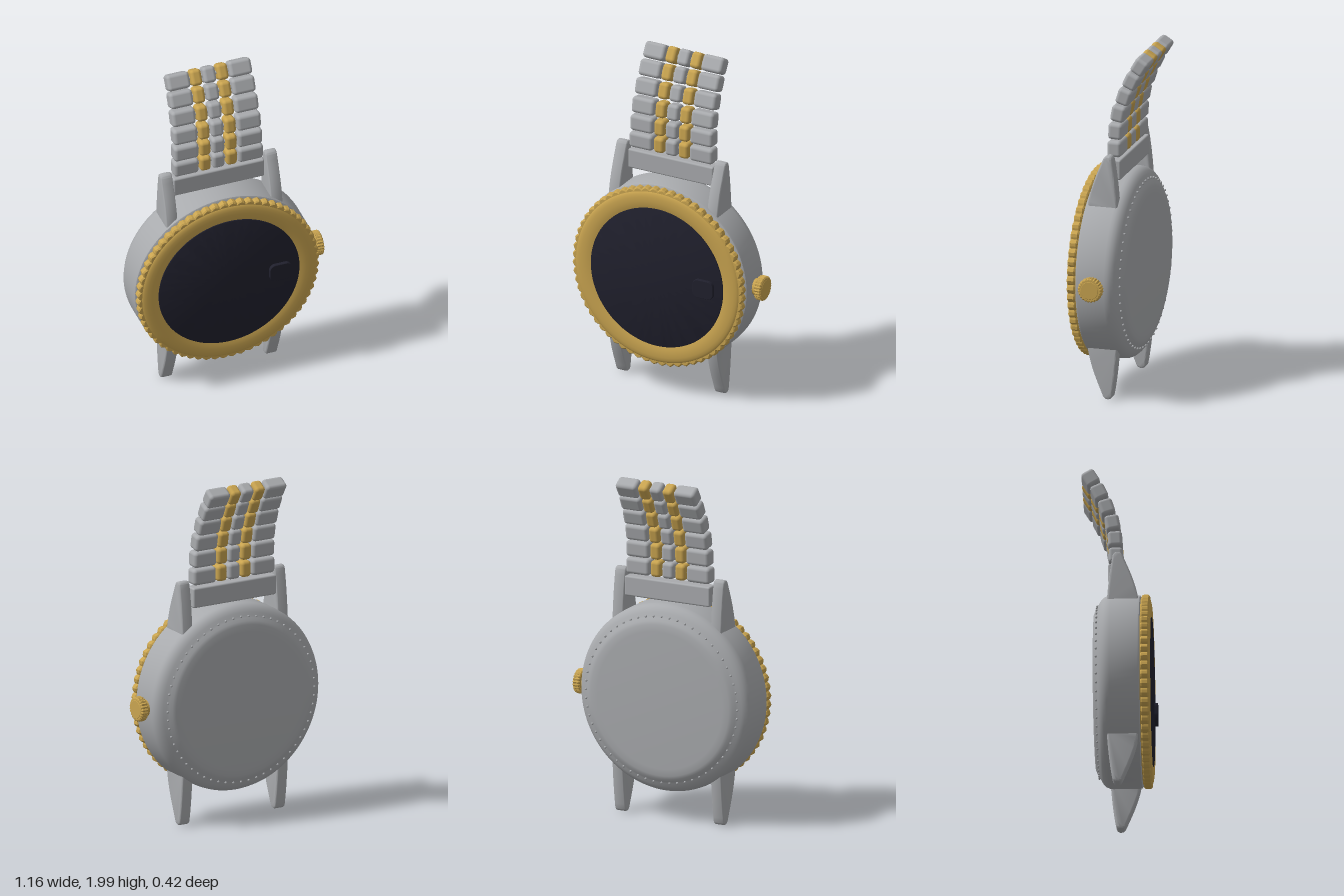
import * as THREE from 'three';
import { toCreasedNormals } from 'three/addons/utils/BufferGeometryUtils.js';
import { RoundedBoxGeometry } from 'three/addons/geometries/RoundedBoxGeometry.js';

const material = (name, color) => {
  const m = new THREE.MeshStandardMaterial({ color });
  m.name = name;
  return m;
};

export function createModel() {
  const steel = material('steel', 0xa9abae);
  const gold = material('gold', 0xc9a450);
  const dark = material('dark glass', 0x20202d);

  const model = new THREE.Group();
  model.name = 'wristwatch';
  // Everything is placed relative to the centre of the case
  const watch = new THREE.Group();
  watch.name = 'watch';
  watch.position.set(-0.031, 0.715, 0);
  model.add(watch);

  const add = (name, geometry, mat, x = 0, y = 0, z = 0, parent = watch) => {
    const mesh = new THREE.Mesh(geometry, mat);
    mesh.name = name;
    mesh.position.set(x, y, z);
    parent.add(mesh);
    return mesh;
  };

  // Turned part about the z axis; profile is [radius, z] from back to front
  const turned = (profile, crease = 0.6) => {
    const g = new THREE.LatheGeometry(profile.map(([r, z]) => new THREE.Vector2(r, z)), 96);
    g.rotateX(Math.PI / 2);
    return toCreasedNormals(g, crease);
  };

  // Toothed disc outline, extruded along z
  const toothed = (teeth, outer, inner, depth, bevel, hole) => {
    const pts = [];
    for (let i = 0; i < teeth * 4; i++) {
      const a = (i / (teeth * 4)) * Math.PI * 2;
      const r = [inner, (inner + outer * 2) / 3, outer, (inner + outer * 2) / 3][i % 4] - bevel;
      pts.push(new THREE.Vector2(Math.cos(a) * r, Math.sin(a) * r));
    }
    const shape = new THREE.Shape(pts);
    if (hole) shape.holes.push(new THREE.Path().absarc(0, 0, hole, 0, Math.PI * 2, true));
    const g = new THREE.ExtrudeGeometry(shape, {
      depth: depth - bevel * 2, bevelEnabled: true, bevelSize: bevel,
      bevelThickness: bevel, bevelSegments: 1, curveSegments: 64,
    });
    g.translate(0, 0, -depth / 2 + bevel);
    return g;
  };

  // Case with rounded back edge and slightly raised back plate
  add('case', turned([
    [0, -0.138], [0.4, -0.138], [0.44, -0.136], [0.46, -0.129], [0.475, -0.118], [0.488, -0.111],
    [0.505, -0.103], [0.522, -0.092], [0.536, -0.076], [0.544, -0.058], [0.546, -0.04],
    [0.546, 0.115], [0.543, 0.125], [0.535, 0.13], [0, 0.13],
  ]), steel);

  // Ring of small studs around the back
  const studs = new THREE.Group();
  studs.name = 'backStuds';
  watch.add(studs);
  const studGeometry = new THREE.SphereGeometry(0.007, 8, 6);
  for (let i = 0; i < 60; i++) {
    const a = (i / 60) * Math.PI * 2;
    add('stud', studGeometry, steel, Math.cos(a) * 0.485, Math.sin(a) * 0.485, -0.117, studs);
  }

  // Bezel: knurled rim and rounded front ring
  add('bezelRim', toothed(64, 0.547, 0.53, 0.046, 0.007, 0.45), gold, 0, 0, 0.157);
  add('bezelRing', turned([
    [0.5, 0.125], [0.525, 0.13], [0.527, 0.174], [0.52, 0.181], [0.508, 0.186], [0.49, 0.189],
    [0.465, 0.189], [0.445, 0.187], [0.428, 0.183], [0.41, 0.178],
  ]), gold);

  // Display and its raised button
  add('display', turned([[0.423, 0.17], [0.423, 0.187], [0.415, 0.19], [0, 0.191]]), dark);
  const bw = 0.066, bh = 0.055, br = 0.035;
  const button = new THREE.Shape();
  button.moveTo(-bw + br, -bh);
  button.absarc(bw - br, -bh + br, br, -Math.PI / 2, 0);
  button.absarc(bw - br, bh - br, br, 0, Math.PI / 2);
  button.absarc(-bw + br, bh - br, br, Math.PI / 2, Math.PI);
  button.absarc(-bw + br, -bh + br, br, Math.PI, Math.PI * 1.5);
  add('displayButton', new THREE.ExtrudeGeometry(button, {
    depth: 0.02, bevelEnabled: true, bevelSize: 0.003, bevelOffset: -0.003,
    bevelThickness: 0.003, bevelSegments: 2,
  }), dark, 0.304, 0, 0.187);

  // Winding crown on the side
  const stem = new THREE.CylinderGeometry(0.048, 0.048, 0.05, 32);
  stem.rotateZ(-Math.PI / 2);
  add('crownStem', stem, gold, 0.545, 0, 0.023);
  const crown = toothed(24, 0.071, 0.064, 0.045, 0.006);
  crown.rotateY(Math.PI / 2);
  add('crown', crown, gold, 0.588, 0, 0.023);
  const cap = new THREE.CylinderGeometry(0.05, 0.058, 0.006, 32);
  cap.rotateZ(-Math.PI / 2);
  add('crownCap', cap, gold, 0.609, 0, 0.023);

  // Four lugs: side outline in (z, y), extruded across x
  const bevel = 0.012;
  const outline = new THREE.Shape();
  outline.moveTo(-0.048, 0.41);
  outline.lineTo(0.108, 0.41);
  outline.bezierCurveTo(0.09, 0.53, 0.05, 0.61, 0.018, 0.69);
  outline.quadraticCurveTo(0.012, 0.703, 0, 0.703);
  outline.quadraticCurveTo(-0.012, 0.703, -0.015, 0.69);
  outline.quadraticCurveTo(-0.036, 0.58, -0.048, 0.41);
  const lug = new THREE.ExtrudeGeometry(outline, {
    depth: 0.07 - bevel * 2, bevelEnabled: true, bevelSize: bevel,
    bevelThickness: bevel, bevelSegments: 4, curveSegments: 10,
  });
  lug.translate(0, 0, -0.035 + bevel);
  lug.rotateY(-Math.PI / 2);
  const lugGeometry = toCreasedNormals(lug, 0.6);
  for (const x of [-0.315, 0.315]) {
    add('upperLug', lugGeometry, steel, x);
    add('lowerLug', lugGeometry, steel, x).rotation.z = Math.PI;
  }

  // End bar between the upper lugs
  add('endBar', new RoundedBoxGeometry(0.546, 0.116, 0.08, 3, 0.01), steel, 0, 0.617, -0.014);

  // Bracelet: rows of five links curving backwards; [y, z, tilt]
  const rows = [
    [0.735, -0.012, 0], [0.838, -0.016, 0.05], [0.941, -0.031, 0.19],
    [1.042, -0.064, 0.31], [1.137, -0.106, 0.44], [1.225, -0.155, 0.54],
  ];
  rows.forEach(([y, z, tilt], i) => {
    const row = new THREE.Group();
    row.name = 'linkRow';
    row.position.set(0, y, z);
    row.rotation.x = -tilt;
    watch.add(row);
    const outerWidth = 0.149 - i * 0.003;
    const link = (name, w, x, mat) =>
      add(name, new RoundedBoxGeometry(w, 0.094, 0.082, 4, 0.02), mat, x, 0, 0, row);
    link('centreLink', 0.074, 0, steel);
    for (const s of [-1, 1]) {
      link('goldLink', 0.064, s * 0.079, gold);
      link('outerLink', outerWidth, s * (0.119 + outerWidth / 2), steel);
    }
    // Hidden pin joining the links of a row
    const pin = new THREE.CylinderGeometry(0.012, 0.012, 0.4, 8);
    pin.rotateZ(Math.PI / 2);
    add('linkPin', pin, steel, 0, 0, 0, row);
  });

  return model;
}
